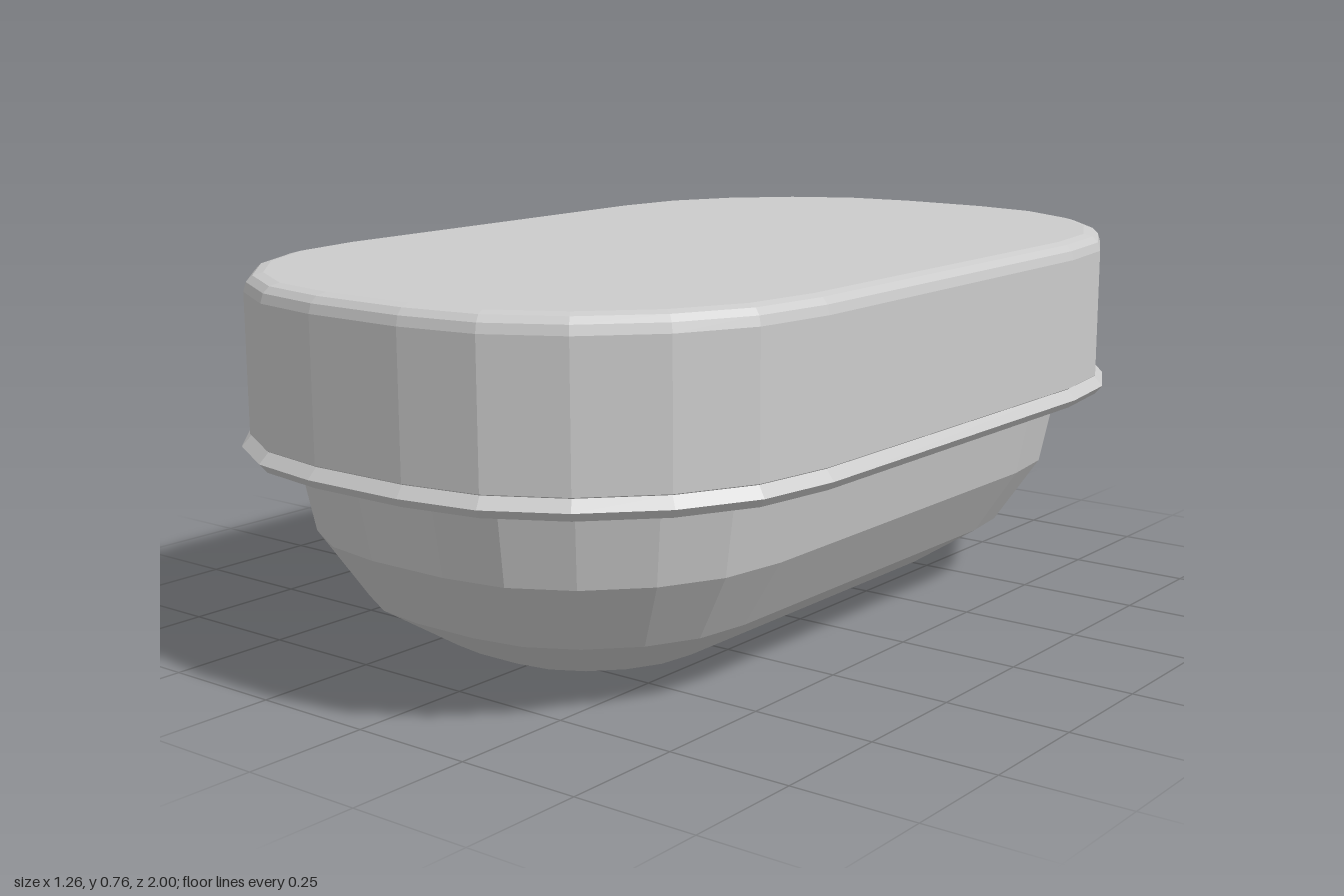
import * as THREE from 'three';

// Quarter of the capsule-like outline (x, z), from the front end to the long side
const QUARTER = [[0.11, 1], [0.27, 0.973], [0.41, 0.895], [0.53, 0.77], [0.605, 0.622], [0.63, 0.45]];
const END = 0.365; // z of the centre each rounded end shrinks towards

// Full outline, counter-clockwise seen from above
const back = [...QUARTER].reverse();
const OUTLINE = [
  ...QUARTER,
  ...back.map(([x, z]) => [x, -z]),
  ...QUARTER.map(([x, z]) => [-x, -z]),
  ...back.map(([x, z]) => [-x, z]),
];

// Outline shrunk around the spine and placed at height y
function ring(scale, y) {
  return OUTLINE.map(([x, z]) => [x * scale, y, Math.sign(z) * (END + (Math.abs(z) - END) * scale)]);
}

// Closed solid through a bottom-to-top profile of [scale, y]
function loft(name, profile, material) {
  const rings = profile.map(([s, y]) => ring(s, y));
  const n = OUTLINE.length;
  const pos = [];
  const tri = (...corners) => corners.forEach((p) => pos.push(...p));
  for (let i = 0; i < rings.length - 1; i++) {
    for (let j = 0; j < n; j++) {
      const k = (j + 1) % n;
      tri(rings[i][j], rings[i][k], rings[i + 1][k]);
      tri(rings[i][j], rings[i + 1][k], rings[i + 1][j]);
    }
  }
  const low = rings[0];
  const high = rings[rings.length - 1];
  for (let j = 0; j < n; j++) {
    const k = (j + 1) % n;
    tri([0, low[0][1], 0], low[k], low[j]);
    tri([0, high[0][1], 0], high[j], high[k]);
  }
  const geometry = new THREE.BufferGeometry();
  geometry.setAttribute('position', new THREE.Float32BufferAttribute(pos, 3));
  geometry.computeVertexNormals();
  const mesh = new THREE.Mesh(geometry, material);
  mesh.name = name;
  return mesh;
}

export function createModel() {
  const group = new THREE.Group();
  group.name = 'capsuleContainer';
  const material = new THREE.MeshStandardMaterial({ color: 0xcccccc, flatShading: true });

  // Rounded lower bowl
  group.add(loft('bowl', [
    [0.167, 0], [0.437, 0.035], [0.66, 0.127], [0.802, 0.265], [0.85, 0.42],
  ], material));

  // Lid with flared lip, straight wall and softened top edge
  group.add(loft('lid', [
    [0.978, 0.42], [1, 0.437], [0.972, 0.458], [0.976, 0.46],
    [0.976, 0.73], [0.968, 0.748], [0.95, 0.76], [0.92, 0.765],
  ], material));

  return group;
}
